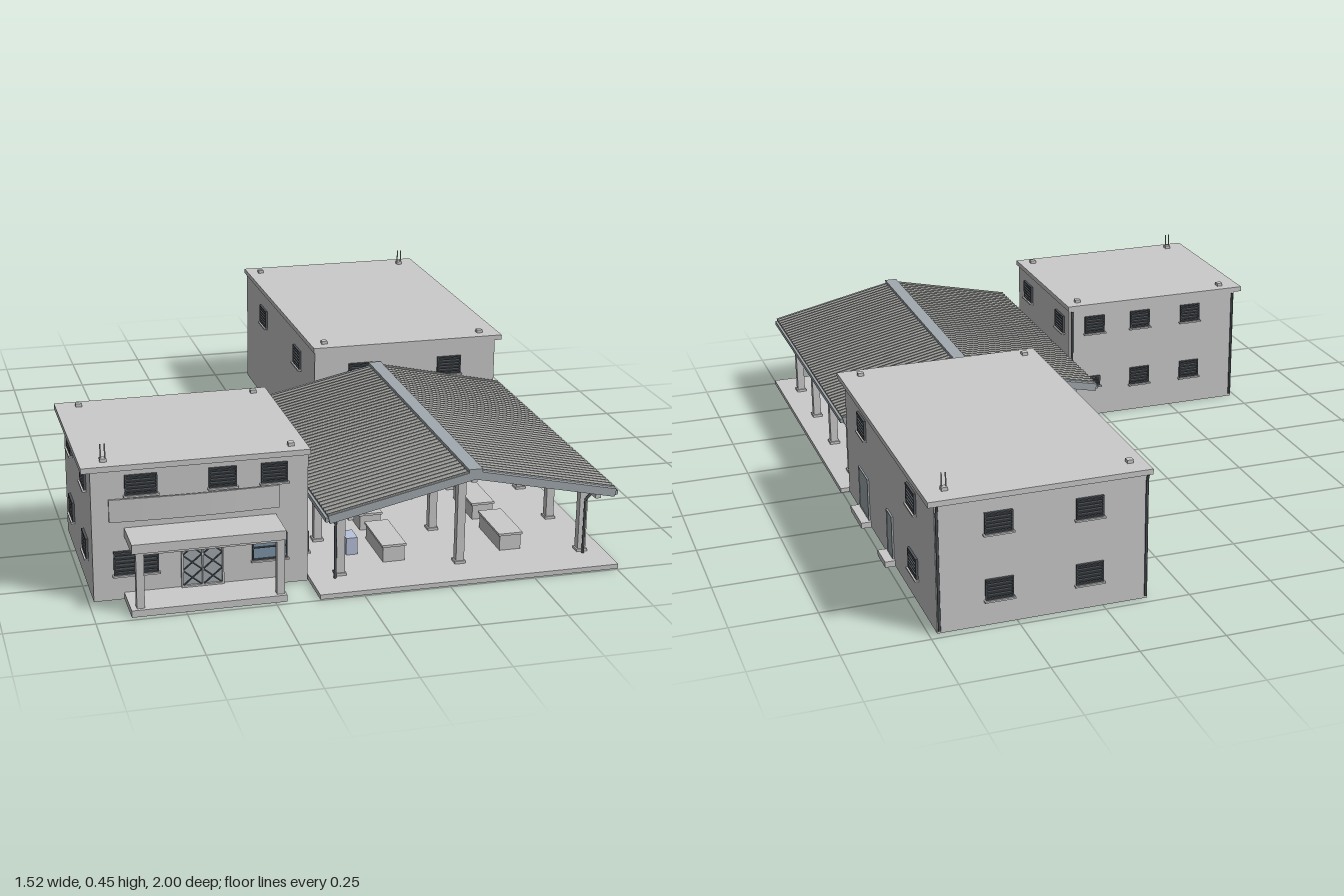
import * as THREE from 'three';

const mat = (color) => new THREE.MeshStandardMaterial({ color });
const grey = mat(0xcccccc), dark = mat(0x50555a), steel = mat(0xa3abb0), blue = mat(0xb9c3dc), glassBlue = mat(0x7f97ad);

function group(name, parent) {
  const g = new THREE.Group();
  g.name = name;
  if (parent) parent.add(g);
  return g;
}

function add(parent, name, geo, m = grey) {
  const mesh = new THREE.Mesh(geo, m);
  mesh.name = name;
  parent.add(mesh);
  return mesh;
}

// box given by its minimum and maximum on each axis
function box(parent, name, [x0, x1], [y0, y1], [z0, z1], m = grey) {
  const b = add(parent, name, new THREE.BoxGeometry(x1 - x0, y1 - y0, z1 - z0), m);
  b.position.set((x0 + x1) / 2, (y0 + y1) / 2, (z0 + z1) / 2);
  return b;
}

function pipe(parent, name, pts, r = 0.004, m = grey) {
  const path = new THREE.CurvePath();
  const v = pts.map((p) => new THREE.Vector3(...p));
  for (let i = 1; i < v.length; i++) path.add(new THREE.LineCurve3(v[i - 1], v[i]));
  add(parent, name, new THREE.TubeGeometry(path, 24, r, 8), m);
}

// group lying on a wall: local x along the wall, local z outward
const turns = { front: 0, right: Math.PI / 2, back: Math.PI, left: -Math.PI / 2 };
function onWall(parent, name, side, plane, along, y) {
  const g = group(name, parent);
  g.rotation.y = turns[side];
  const alongX = side === 'front' || side === 'back';
  g.position.set(alongX ? along : plane, y, alongX ? plane : along);
  return g;
}

function frame(g, w, h, t = 0.005, d = 0.009, m = grey) {
  for (const s of [-1, 1]) {
    const cx = s * (w / 2 - t / 2), cy = s * (h / 2 - t / 2);
    box(g, 'frameSide', [cx - t / 2, cx + t / 2], [-h / 2, h / 2], [-0.004, d], m);
    box(g, 'frameRail', [-w / 2, w / 2], [cy - t / 2, cy + t / 2], [-0.004, d], m);
  }
}

function makeWindow(parent, side, plane, along, y, w = 0.08, h = 0.06, glass = dark, bars = 5) {
  const g = onWall(parent, 'window', side, plane, along, y);
  box(g, 'glass', [-w / 2, w / 2], [-h / 2, h / 2], [-0.004, 0.002], glass);
  frame(g, w, h, 0.004, 0.007, dark);
  for (let i = 1; i <= bars; i++) {
    const by = -h / 2 + (i * h) / (bars + 1);
    box(g, 'windowBar', [-w / 2, w / 2], [by - 0.0015, by + 0.0015], [0, 0.007], dark);
  }
  box(g, 'sill', [-w / 2 - 0.004, w / 2 + 0.004], [-h / 2 - 0.005, -h / 2], [-0.004, 0.012]);
}

function makeDoor(parent, side, plane, along, y0, w, h) {
  const g = onWall(parent, 'door', side, plane, along, y0 + h / 2);
  box(g, 'doorLeaf', [-w / 2, w / 2], [-h / 2, h / 2], [-0.004, 0.003], steel);
  frame(g, w, h, 0.003, 0.005, steel);
}

function makeVent(parent, x, z, top) {
  box(parent, 'roofVent', [x - 0.009, x + 0.009], [0.4, 0.412], [z - 0.009, z + 0.009]);
  if (top) for (const s of [-1, 1])
    pipe(parent, 'roofPole', [[x + s * 0.006, 0.4, z], [x + s * 0.006, top, z]], 0.002);
}

function makeShop() {
  const g = group('shopBuilding');
  box(g, 'shopWalls', [-0.735, -0.128], [0, 0.388], [0.337, 0.862]);
  box(g, 'shopRoof', [-0.762, -0.126], [0.386, 0.402], [0.335, 0.882]);
  for (const x of [-0.695, -0.172]) for (const z of [0.375, 0.838])
    makeVent(g, x, z, x < -0.5 && z > 0.5 ? 0.453 : 0);
  for (const x of [-0.727, -0.138])
    pipe(g, 'downpipe', [[x, 0.385, 0.332], [x, 0.01, 0.332]], 0.004, dark);

  // windows on the four sides
  for (const [x, w] of [[-0.597, 0.09], [-0.37, 0.078], [-0.225, 0.075]])
    makeWindow(g, 'front', 0.862, x, 0.337, w, 0.058);
  makeWindow(g, 'front', 0.862, -0.615, 0.11, 0.125, 0.07);
  makeWindow(g, 'front', 0.862, -0.238, 0.117, 0.1, 0.075, glassBlue, 1);
  for (const x of [-0.57, -0.385, -0.22]) {
    makeWindow(g, 'back', 0.337, x, 0.33, 0.07);
    makeWindow(g, 'back', 0.337, x, 0.125, x > -0.3 ? 0.04 : 0.07, x > -0.3 ? 0.035 : 0.06);
  }
  for (const z of [0.47, 0.74]) for (const y of [0.125, 0.33])
    makeWindow(g, 'left', -0.735, z, y);
  for (const z of [0.42, 0.75]) makeWindow(g, 'right', -0.128, z, 0.325);
  makeWindow(g, 'right', -0.128, 0.823, 0.112, 0.05);
  makeWindow(g, 'right', -0.128, 0.58, 0.138, 0.04, 0.036);
  makeWindow(g, 'right', -0.128, 0.515, 0.118, 0.07, 0.055, blue, 0);
  makeDoor(g, 'right', -0.128, 0.435, 0.015, 0.06, 0.15);

  // entrance door with diagonal lattice
  const d = onWall(g, 'entranceDoor', 'front', 0.862, -0.43, 0.092);
  box(d, 'doorGlass', [-0.06, 0.06], [-0.072, 0.072], [-0.004, 0.002], steel);
  frame(d, 0.12, 0.144);
  box(d, 'doorPost', [-0.002, 0.002], [-0.072, 0.072], [0, 0.009]);
  for (const cx of [-0.029, 0.029]) for (const cy of [-0.046, 0, 0.046]) for (const s of [-1, 1]) {
    const bar = box(d, 'latticeBar', [-0.035, 0.035], [-0.0015, 0.0015], [0.002, 0.006], dark);
    bar.position.x = cx;
    bar.position.y = cy;
    bar.rotation.z = s * 0.7;
  }

  // gently bowed sign board
  const sign = new THREE.BoxGeometry(0.475, 0.066, 0.006, 24, 1, 1);
  const p = sign.attributes.position;
  for (let i = 0; i < p.count; i++) p.setZ(i, p.getZ(i) + 0.008 * Math.cos((p.getX(i) / 0.2375) * Math.PI / 2));
  sign.computeVertexNormals();
  add(g, 'signBoard', sign).position.set(-0.45, 0.267, 0.868);

  // porch
  box(g, 'porchStep', [-0.65, -0.217], [0, 0.02], [0.86, 0.985]);
  box(g, 'porchRoof', [-0.646, -0.22], [0.185, 0.212], [0.86, 0.985]);
  box(g, 'porchBeam', [-0.635, -0.23], [0.176, 0.186], [0.955, 0.975]);
  for (const x of [-0.623, -0.233])
    box(g, 'porchPillar', [x - 0.011, x + 0.011], [0.02, 0.186], [0.953, 0.975]);
  return g;
}

function makeHall() {
  const g = group('hallBuilding');
  box(g, 'hallWalls', [0.118, 0.727], [0, 0.388], [-0.975, 0]);
  box(g, 'hallRoof', [0.115, 0.75], [0.386, 0.402], [-1, 0.002]);
  for (const x of [0.16, 0.687]) for (const z of [-0.935, -0.045])
    makeVent(g, x, z, x > 0.5 && z < -0.5 ? 0.453 : 0);
  pipe(g, 'downpipe', [[0.722, 0.386, -0.99], [0.722, 0.36, -0.98], [0.722, 0.01, -0.98]], 0.004, dark);
  pipe(g, 'downpipe', [[0.125, 0.386, -0.99], [0.125, 0.36, -0.98], [0.125, 0.01, -0.98]], 0.004, dark);

  for (const x of [0.27, 0.57]) makeWindow(g, 'front', 0, x, 0.313, 0.08);
  for (const x of [0.135, 0.482]) makeWindow(g, 'front', 0, x, 0.255, 0.02, 0.05, blue, 0);
  makeDoor(g, 'front', 0, 0.268, 0.015, 0.082, 0.14);
  makeDoor(g, 'front', 0, 0.568, 0.015, 0.058, 0.14);
  for (const [z, y] of [[-0.21, 0.306], [-0.755, 0.306], [-0.755, 0.108]])
    makeWindow(g, 'right', 0.727, z, y, 0.085, 0.062);
  for (const z of [-0.22, -0.7]) makeWindow(g, 'left', 0.118, z, 0.306, 0.09, 0.062);
  for (const x of [0.29, 0.55]) for (const y of [0.108, 0.306]) makeWindow(g, 'back', -0.975, x, y, 0.08, 0.062);
  for (const [z, w] of [[-0.207, 0.11], [-0.507, 0.06]]) {
    makeDoor(g, 'right', 0.727, z, 0.018, w, 0.134);
    box(g, 'doorStep', [0.72, 0.758], [0, 0.018], [z - w / 2 - 0.012, z + w / 2 + 0.012]);
  }
  return g;
}

function makeMarket() {
  const g = group('marketCanopy');
  box(g, 'floorSlab', [-0.126, 0.755], [0, 0.014], [0, 0.995]);

  // roof slopes: ribbed sheet extruded from ridge to eave
  const ridge = 0.315, top = 0.335, run = 0.42, drop = 0.092;
  const len = Math.hypot(run, drop), slope = Math.atan2(drop, run), ribs = 44, pitch = 0.98 / ribs;
  const sheet = new THREE.Shape();
  sheet.moveTo(-0.49, -0.006);
  for (let i = 0; i < ribs; i++)
    for (const [u, h] of [[0, 0], [0.45, 0], [0.6, 0.007], [0.85, 0.007], [1, 0]])
      sheet.lineTo(-0.49 + (i + u) * pitch, h);
  sheet.lineTo(0.49, -0.006);
  const sheetGeo = new THREE.ExtrudeGeometry(sheet, { depth: len, bevelEnabled: false });
  const columnZ = [0.12, 0.37, 0.62, 0.87];
  for (const s of [-1, 1]) {
    const half = group('roofSlope', g);
    half.position.set(ridge, top, 0.503);
    half.rotation.set(0, s * Math.PI / 2, 0);
    const tilt = group('slopedPart', half);
    tilt.rotation.x = slope;
    add(tilt, 'ribbedSheet', sheetGeo, mat(0x9a9a98));
    for (const e of [-0.484, 0.484])
      box(tilt, 'gableBoard', [e - 0.008, e + 0.008], [-0.02, 0.004], [0, len], steel);
    for (const z of columnZ)
      box(tilt, 'rafter', [z - 0.503 - 0.007, z - 0.503 + 0.007], [-0.025, -0.005], [0, len - 0.02]);
    for (let i = 1; i < 5; i++)
      box(tilt, 'purlin', [-0.48, 0.48], [-0.014, -0.005], [i * 0.085, i * 0.085 + 0.008]);

    // gutter and bent downpipes at the eave
    const ex = ridge + s * run, px = ridge + s * 0.372;
    box(g, 'gutter', [ex - 0.007, ex + 0.007], [0.227, 0.24], [0.02, 0.99], steel);
    for (const z of [0.145, 0.895])
      pipe(g, 'downpipe', [[ex, 0.23, z], [px, 0.18, z], [px, 0.014, z]], 0.004, dark);
  }
  box(g, 'ridgeCap', [ridge - 0.02, ridge + 0.02], [top, top + 0.01], [0.01, 0.995], steel);

  // columns with lengthwise beams
  for (const [x, h] of [[-0.037, 0.24], [0.317, 0.318], [0.688, 0.235]]) {
    box(g, 'roofBeam', [x - 0.008, x + 0.008], [h - 0.018, h], [0.03, 0.98]);
    for (const z of columnZ) {
      box(g, 'column', [x - 0.012, x + 0.012], [0.014, h], [z - 0.012, z + 0.012]);
      box(g, 'columnFoot', [x - 0.016, x + 0.016], [0.014, 0.022], [z - 0.016, z + 0.016]);
    }
  }

  // two rows of stalls, each with a small front panel
  for (const x of [0.137, 0.49]) for (const z of [0.25, 0.495, 0.735]) {
    box(g, 'stallCounter', [x - 0.032, x + 0.032], [0.014, 0.062], [z - 0.088, z + 0.088]);
    box(g, 'stallTop', [x - 0.036, x + 0.036], [0.06, 0.067], [z - 0.092, z + 0.092]);
    box(g, 'stallPanel', [x + 0.03, x + 0.036], [0.03, 0.062], [z - 0.018, z + 0.018]);
  }
  box(g, 'coolerBox', [0.016, 0.05], [0.014, 0.066], [0.69, 0.75], blue);
  return g;
}

export function createModel() {
  const model = group('marketComplex');
  model.add(makeShop(), makeHall(), makeMarket());
  return model;
}
